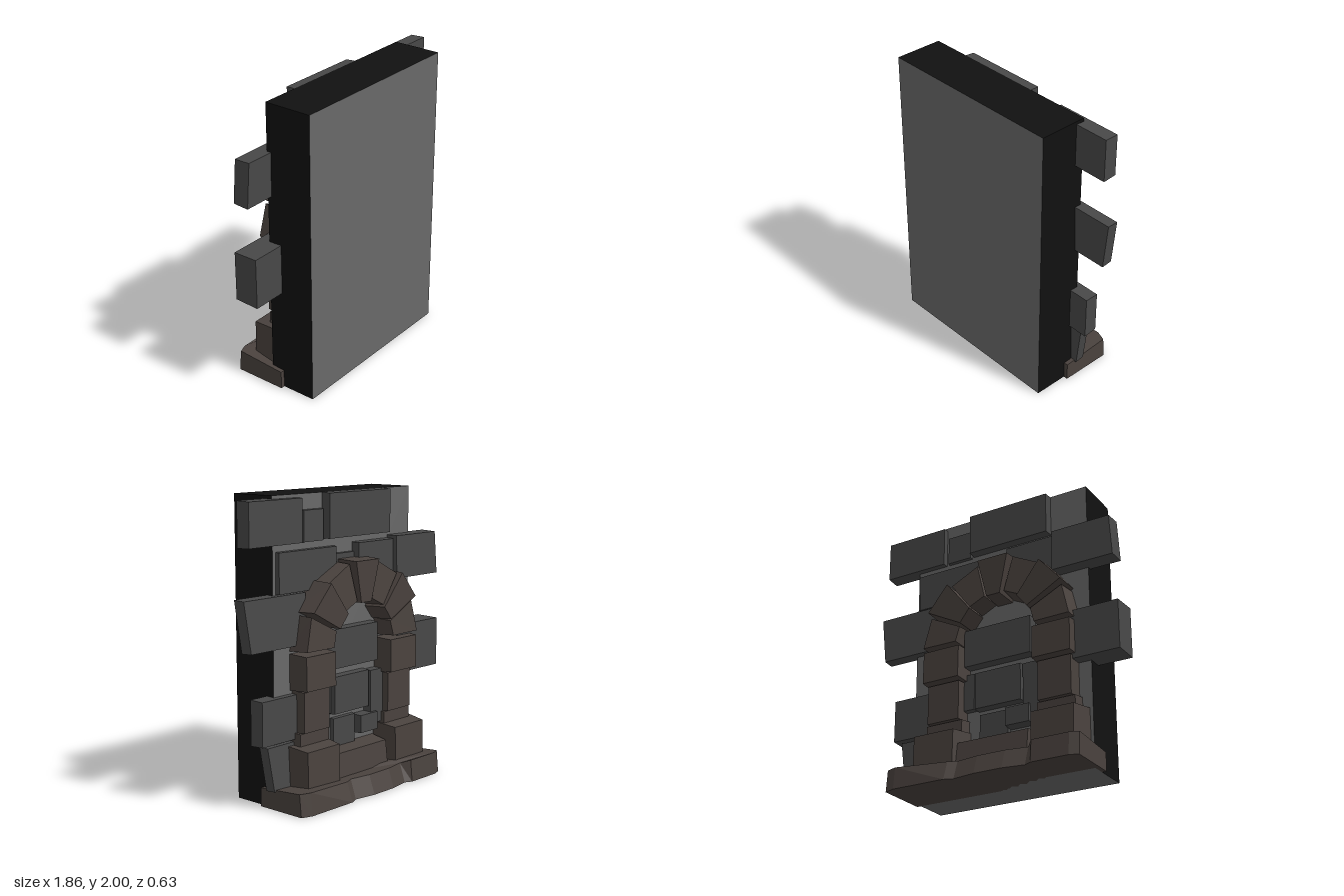
import * as THREE from 'three';

const paint = (color) => new THREE.MeshStandardMaterial({ color, flatShading: true });

export function createModel() {
  const model = new THREE.Group();
  const brickMat = paint(0x484848), stoneMat = paint(0x4a423e);
  const wallMat = paint(0x686868), edgeMat = paint(0x111111);

  // Prism from an outline in x/y, running from zBack to the outer face zFace.
  // inset shrinks the outer face, lean tips the stone in z over its height.
  function block(name, pts, zFace, zBack, mat, inset = 0.01, lean = 0) {
    const shape = new THREE.Shape(pts.map(([x, y]) => new THREE.Vector2(x, y)));
    const geo = new THREE.ExtrudeGeometry(shape, { depth: zBack - zFace, bevelEnabled: false });
    const cx = pts.reduce((s, q) => s + q[0], 0) / pts.length;
    const cy = pts.reduce((s, q) => s + q[1], 0) / pts.length;
    const p = geo.attributes.position;
    for (let i = 0; i < p.count; i++) {
      const x = p.getX(i), y = p.getY(i), z = p.getZ(i);
      const shrink = z < 1e-4 ? inset : 0;
      p.setXYZ(i, x - shrink * Math.sign(x - cx), y - shrink * Math.sign(y - cy),
        z + zFace + lean * (y - cy));
    }
    geo.computeVertexNormals();
    const mesh = new THREE.Mesh(geo, mat);
    mesh.name = name;
    model.add(mesh);
  }
  const rect = (x0, x1, y0, y1) => [[x0, y0], [x1, y0], [x1, y1], [x0, y1]];

  // Wall slab with dark sides and top
  const wall = new THREE.Mesh(new THREE.BoxGeometry(1.335, 2, 0.335),
    [edgeMat, edgeMat, edgeMat, wallMat, wallMat, wallMat]);
  wall.position.set(-0.0225, 1, 0.1475);
  wall.name = 'wallSlab';
  model.add(wall);

  // Wall brick; slant slides its outer top corner sideways and tips it
  function brick(name, x0, x1, y0, y1, zFace, zBack = 0, slant = 0) {
    const pts = rect(x0, x1, y0, y1);
    pts[x0 + x1 > 0 ? 2 : 3][0] += slant;
    block(name, pts, zFace, zBack, brickMat, 0.004, slant);
  }
  // Top course
  brick('topBrickLeft', 0.41, 0.885, 1.69, 1.98, -0.06, 0.04);
  brick('topBrickSmall', 0.2, 0.39, 1.69, 1.9, -0.045);
  brick('topBrickWide', -0.42, 0.19, 1.7, 2, -0.085);
  // Course above the arch
  brick('upperBrickLeft', 0.08, 0.62, 1.38, 1.65, -0.05);
  brick('upperBrickSmall', -0.1, 0.08, 1.38, 1.6, -0.04);
  brick('upperBrickMiddle', -0.46, -0.1, 1.38, 1.66, -0.08);
  brick('upperBrickRight', -0.91, -0.46, 1.38, 1.68, -0.105, 0.01, 0.02);
  // Bricks beside the arch
  brick('middleBrickLeft', 0.38, 0.885, 1.04, 1.38, -0.06, 0.02, 0.045);
  brick('middleBrickRight', -0.93, -0.48, 0.715, 1.06, -0.1, 0.075);
  brick('lowerBrickLeft', 0.43, 0.79, 0.43, 0.73, -0.06, 0.04);
  brick('bottomBrickLeft', 0.4, 0.69, 0.12, 0.42, -0.055, 0.015, 0.045);
  // Bricks inside the arch
  brick('nicheBrickWide', -0.29, 0.22, 0.84, 1.11, -0.09);
  brick('nicheBrickMiddle', -0.21, 0.14, 0.53, 0.79, -0.08);
  brick('nicheBrickLeft', 0.15, 0.29, 0.54, 0.8, -0.06);
  brick('nicheBrickRight', -0.36, -0.22, 0.4, 0.78, -0.08);
  brick('nicheBrickSmall', -0.28, -0.1, 0.36, 0.49, -0.1);
  brick('nicheBrickLow', -0.1, 0.12, 0.3, 0.5, -0.05);

  // Arch: seven wedges, every second one larger and tipped the other way
  const cx = -0.06, cy = 1.0, count = 7;
  const at = (r, a) => [cx + r * Math.cos(a), cy + r * Math.sin(a)];
  for (let i = 0; i < count; i++) {
    const odd = i % 2;
    const a = (Math.PI * i) / count + 0.01, b = (Math.PI * (i + 1)) / count - 0.01;
    const outer = odd ? 0.575 : 0.56, inner = odd ? 0.275 : 0.29;
    block('archStone' + (i + 1), [at(inner, a), at(outer, a), at(outer, b), at(inner, b)],
      odd ? -0.19 : -0.165, 0, stoneMat, 0.008, odd ? -0.04 : 0.05);
  }

  // Columns, feet and pedestals on both sides
  for (const s of [1, -1]) {
    const side = s > 0 ? 'left' : 'right';
    const part = (name, r0, r1, y0, y1, zFace, inset, lean) => {
      const [x0, x1] = [cx + s * r0, cx + s * r1].sort((m, n) => m - n);
      block(side + name, rect(x0, x1, y0, y1), zFace, 0, stoneMat, inset, lean);
    };
    part('ColumnUpper', 0.27, 0.56, 0.75, 0.99, -0.165, 0.008, 0.02);
    part('ColumnLower', 0.29, 0.54, 0.47, 0.75, -0.125, 0.006, 0);
    part('ColumnFoot', 0.27, 0.56, 0.38, 0.48, -0.105, 0.01, 0);
    part('Pedestal', 0.26, 0.61, 0.1, 0.4, -0.205, 0.025, 0.02);
  }

  // Step between the pedestals
  block('step', rect(-0.32, 0.27, 0.1, 0.31), -0.165, 0, stoneMat, 0.02, 0.1);

  // Sill with a worn, wavy edge, pulled back along its top
  const sillShape = new THREE.Shape();
  sillShape.moveTo(0.675, -0.075);
  sillShape.lineTo(0.675, 0.285);
  for (const x of [0.6, 0.22, 0.16, 0, -0.2, -0.35, -0.4, -0.66]) {
    const dip = x === 0.16 || x === -0.35;
    sillShape.lineTo(x, dip ? 0.287 : 0.312);
  }
  sillShape.lineTo(-0.72, 0.29);
  sillShape.lineTo(-0.72, -0.075);
  const sillGeo = new THREE.ExtrudeGeometry(sillShape, { depth: 0.15, bevelEnabled: false });
  sillGeo.rotateX(-Math.PI / 2);
  const p = sillGeo.attributes.position;
  for (let i = 0; i < p.count; i++) {
    if (p.getY(i) < 0.1) continue;
    const front = p.getZ(i) < 0, middle = Math.abs(p.getX(i)) < 0.38;
    p.setY(i, !front ? 0.125 : middle ? 0.13 : 0.15);
    if (front) p.setZ(i, p.getZ(i) + (middle ? 0.045 : 0.015));
  }
  sillGeo.computeVertexNormals();
  const sill = new THREE.Mesh(sillGeo, stoneMat);
  sill.name = 'sill';
  model.add(sill);

  return model;
}
